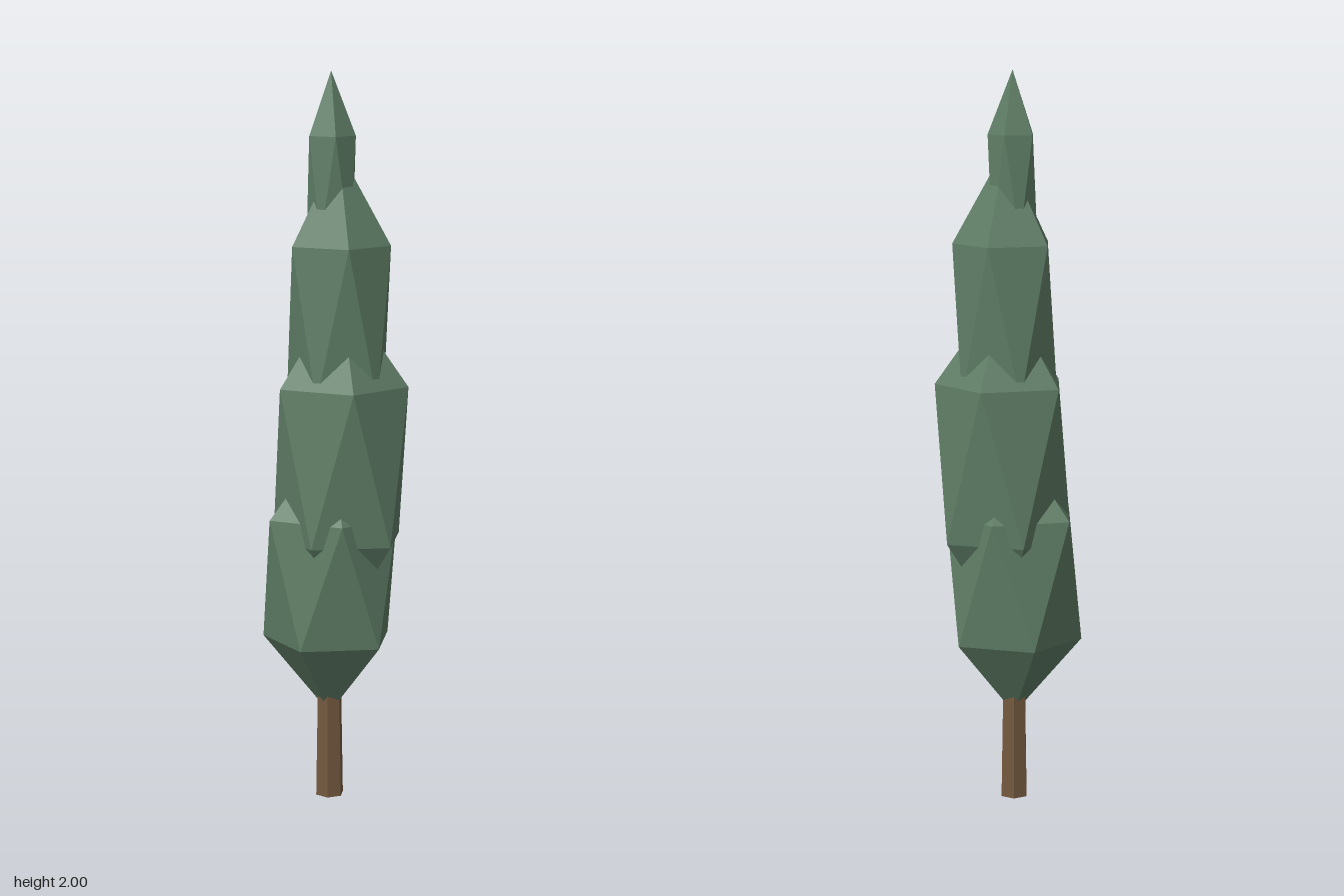
import * as THREE from 'three';

// Icosahedron turned to stand on a vertex, upper ring of five pointing to +x
function clump(rx, ry, rz) {
  const ring = 2 / Math.sqrt(5); // ring radius of a unit icosahedron
  const geometry = new THREE.IcosahedronGeometry(1, 0);
  geometry.rotateX(-Math.atan((1 + Math.sqrt(5)) / 2));
  geometry.rotateY(Math.PI / 2);
  geometry.scale(rx / ring, ry, rz / ring);
  geometry.computeVertexNormals();
  return geometry;
}

export function createModel() {
  const tree = new THREE.Group();
  tree.name = 'tree';
  const bark = new THREE.MeshStandardMaterial({ color: 0x74593f, flatShading: true });
  const leaves = new THREE.MeshStandardMaterial({ color: 0x5f7d66, flatShading: true });

  // Tapered six-sided trunk, its top hidden in the foliage
  const trunk = new THREE.Mesh(new THREE.CylinderGeometry(0.033, 0.04, 0.4, 6), bark);
  trunk.name = 'trunk';
  trunk.position.set(-0.015, 0.2, 0);
  tree.add(trunk);

  // Stacked foliage: name, centre x, centre y, ring radius x, half height, ring radius z
  const tiers = [
    ['lowerFoliage', -0.015, 0.625, 0.185, 0.39, 0.155],
    ['middleFoliage', 0.015, 0.948, 0.185, 0.475, 0.155],
    ['upperFoliage', 0.01, 1.335, 0.141, 0.46, 0.116],
    ['topFoliage', -0.01, 1.693, 0.066, 0.307, 0.056],
  ];
  for (const [name, x, y, rx, ry, rz] of tiers) {
    const mesh = new THREE.Mesh(clump(rx, ry, rz), leaves);
    mesh.name = name;
    mesh.position.set(x, y, 0);
    tree.add(mesh);
  }
  return tree;
}
